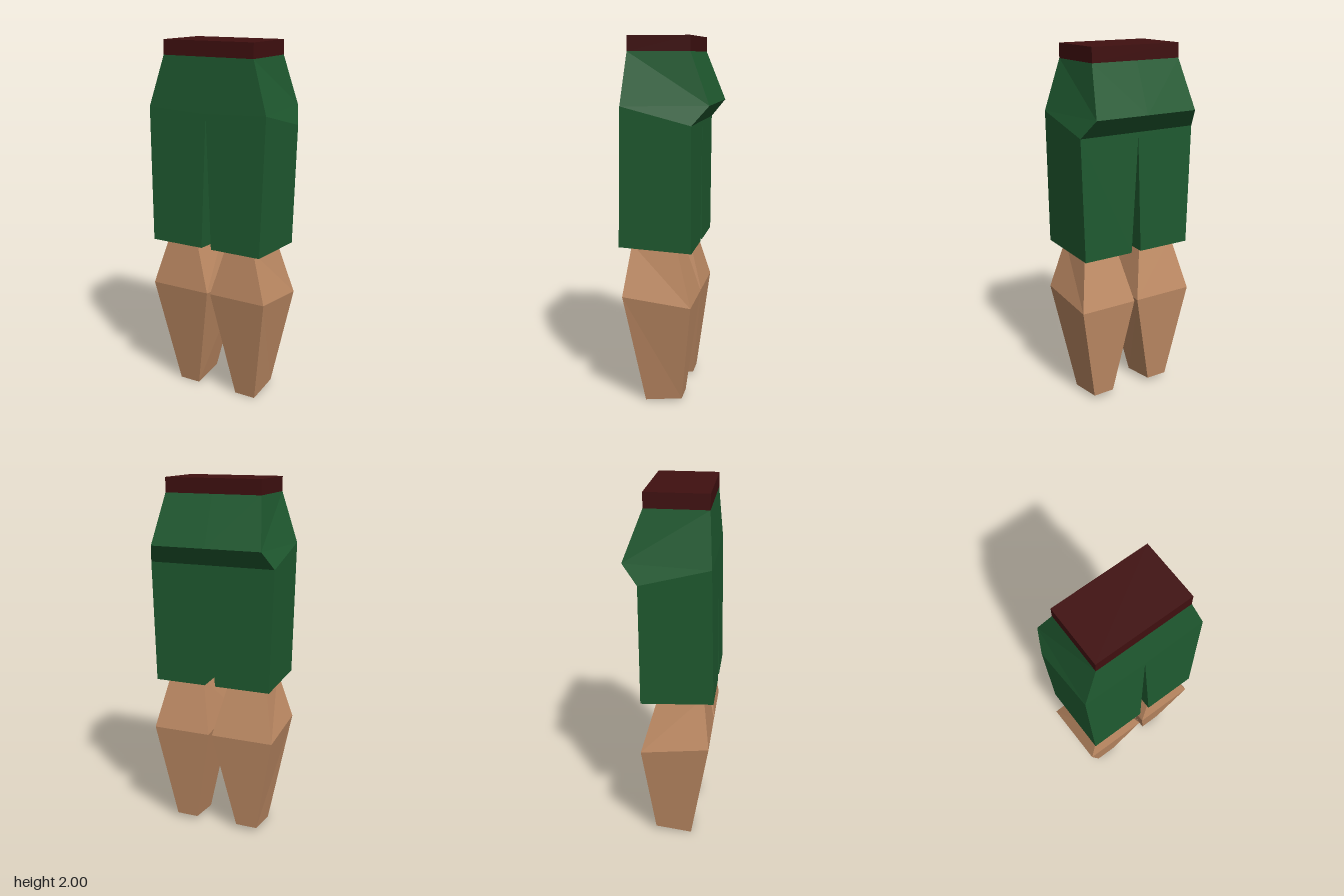
import * as THREE from 'three';

const paint = (color) => new THREE.MeshStandardMaterial({ color, flatShading: true, side: THREE.DoubleSide });

// Builds a flat-shaded mesh from convex polygons; mirrored polygons get their winding reversed.
function polyMesh(name, material, polygons, mirrored = false) {
  const pos = [];
  for (const p of polygons) {
    for (let i = 1; i < p.length - 1; i++) {
      const tri = mirrored ? [p[0], p[i + 1], p[i]] : [p[0], p[i], p[i + 1]];
      tri.forEach((v) => pos.push(...v));
    }
  }
  const geo = new THREE.BufferGeometry();
  geo.setAttribute('position', new THREE.Float32BufferAttribute(pos, 3));
  geo.computeVertexNormals();
  const mesh = new THREE.Mesh(geo, material);
  mesh.name = name;
  return mesh;
}

// One half of the shorts: hip, seat bulge and trouser leg
function shortsHalf(s, inner, material) {
  const waistF = [s * 0.27, 1.92, 0.197], waistFC = [0, 1.92, 0.197];
  const waistB = [s * 0.27, 1.92, -0.135], waistBC = [0, 1.92, -0.135];
  const hipF = [s * 0.355, 1.645, 0.217], hipB = [s * 0.355, 1.55, -0.155], hipBC = [0, 1.55, -0.155];
  const seat = [s * 0.31, 1.65, -0.24], seatC = [0, 1.65, -0.24];
  const crotchF = [0, 1.63, 0.217], crotchB = [0, 1.53, -0.155];
  const outF = [s * 0.335, 0.9, 0.237], outB = [s * 0.335, 0.88, -0.155];
  const inF = [s * inner, 0.9, 0.237], inB = [s * inner, 0.88, -0.155];
  return polyMesh(s > 0 ? 'leftShortsHalf' : 'rightShortsHalf', material, [
    [waistFC, crotchF, hipF, waistF], [crotchF, inF, outF, hipF], // front
    [waistF, seat, waistB], [hipF, seat, waistF], [hipF, hipB, seat], // hip side
    [hipF, outF, outB, hipB], // outer leg
    [waistB, seat, seatC, waistBC], [seat, hipB, hipBC, seatC], // seat
    [hipB, outB, inB, crotchB, hipBC], // back of leg
    [crotchB, inB, inF, crotchF], // inner leg
    [outF, inF, inB, outB], // hem
  ], s < 0);
}

// Lower leg: four-sided rings, open at the ankle
function lowerLeg(s, kneeInner, topInner, material) {
  const ring = (inF, outF, yF, zF, inB, outB, yB, zB) => [
    [s * inF, yF, zF], [s * outF, yF, zF], [s * outB, yB, zB], [s * inB, yB, zB],
  ];
  const rings = [
    ring(topInner, 0.27, 0.905, 0.18, topInner - 0.015, 0.29, 0.885, -0.07),
    ring(kneeInner, 0.355, 0.63, 0.217, kneeInner, 0.355, 0.587, -0.155),
    ring(0.125, 0.25, 0, 0.115, 0.125, 0.25, 0.025, -0.09),
  ];
  const faces = [];
  for (let i = 0; i < 2; i++) {
    for (let j = 0; j < 4; j++) {
      const k = (j + 1) % 4;
      faces.push([rings[i][j], rings[i + 1][j], rings[i + 1][k], rings[i][k]]);
    }
  }
  return polyMesh(s > 0 ? 'leftLowerLeg' : 'rightLowerLeg', material, faces, s < 0);
}

export function createModel() {
  const model = new THREE.Group();
  model.name = 'legsWithShorts';
  const green = paint(0x1f5a30), skin = paint(0xc08c65), maroon = paint(0x401010);

  // Waistband
  const band = new THREE.Mesh(new THREE.BoxGeometry(0.54, 0.08, 0.332), maroon);
  band.position.set(0, 1.96, 0.031);
  band.name = 'waistband';
  model.add(band);

  // Shorts
  const shorts = new THREE.Group();
  shorts.name = 'shorts';
  shorts.add(shortsHalf(1, 0.04, green), shortsHalf(-1, 0.02, green));
  model.add(shorts);

  // Lower legs
  model.add(lowerLeg(1, 0.02, 0.1, skin), lowerLeg(-1, 0, 0.085, skin));
  return model;
}
